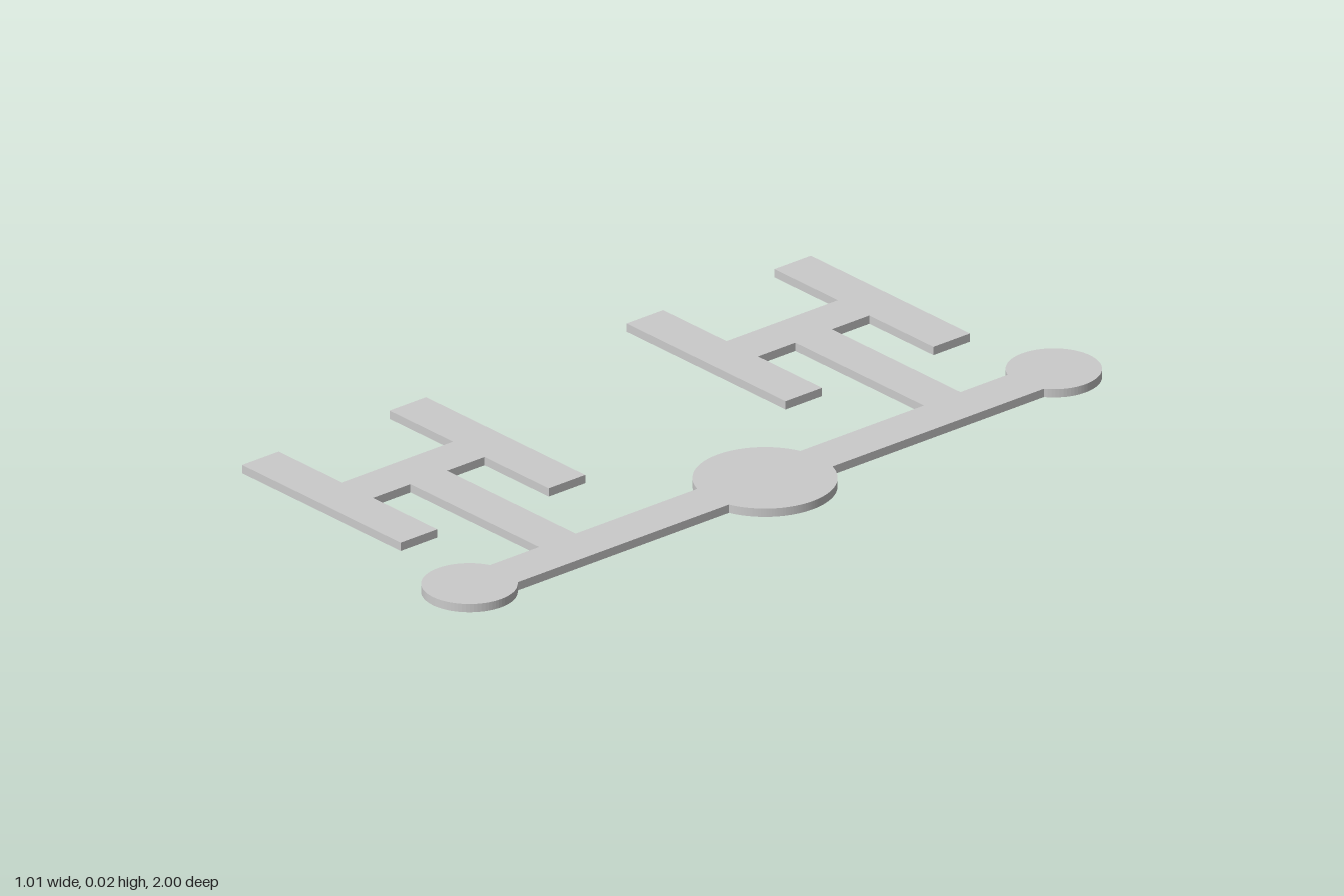
import * as THREE from 'three';

const THICK = 0.021;
const HUB = { x: 0.336, r: 0.167 };            // large middle disc
const TIP = { x: 0.324, z: 0.889, r: 0.111 };  // small end discs
const SPINE = { left: 0.279, right: 0.391 };
const HALF = 0.0555;                           // half width of every bar

// Angle at which a disc's rim crosses the line at x
const joinAngle = (disc, x) => Math.acos((x - disc.x) / disc.r);

// H-shaped branch on the spine's left edge, traced from high z to low z
function addBranch(shape, z) {
  const bar = [-0.505, 0.053], stem = [-0.282, -0.172], off = 0.225;
  const inner = off - HALF, outer = off + HALF;
  [
    [SPINE.left, HALF], [stem[1], HALF], [stem[1], inner], [bar[1], inner],
    [bar[1], outer], [bar[0], outer], [bar[0], inner], [stem[0], inner],
    [stem[0], -inner], [bar[0], -inner], [bar[0], -outer], [bar[1], -outer],
    [bar[1], -inner], [stem[1], -inner], [stem[1], -HALF], [SPINE.left, -HALF],
  ].forEach(([x, dz]) => shape.lineTo(x, z + dz));
}

export function createModel() {
  const group = new THREE.Group();
  group.name = 'flatPlate';

  const full = Math.PI * 2;
  const tipL = joinAngle(TIP, SPINE.left), tipR = joinAngle(TIP, SPINE.right);
  const hubL = joinAngle(HUB, SPINE.left), hubR = joinAngle(HUB, SPINE.right);

  // One continuous outline: up the right side, back down the left
  const shape = new THREE.Shape();
  shape.absarc(TIP.x, -TIP.z, TIP.r, tipL, full + tipR, false);
  shape.absarc(HUB.x, 0, HUB.r, -hubR, hubR, false);
  shape.absarc(TIP.x, TIP.z, TIP.r, -tipR, full - tipL, false);
  addBranch(shape, 0.5825);
  shape.absarc(HUB.x, 0, HUB.r, hubL, full - hubL, false);
  addBranch(shape, -0.5885);
  shape.closePath();

  // Lay the plate flat on the ground
  const geometry = new THREE.ExtrudeGeometry(shape, {
    depth: THICK, bevelEnabled: false, curveSegments: 32,
  });
  geometry.rotateX(Math.PI / 2).translate(0, THICK, 0);

  const plate = new THREE.Mesh(geometry, new THREE.MeshStandardMaterial({ color: 0xcccccc }));
  plate.name = 'branchedPlate';
  group.add(plate);
  return group;
}
